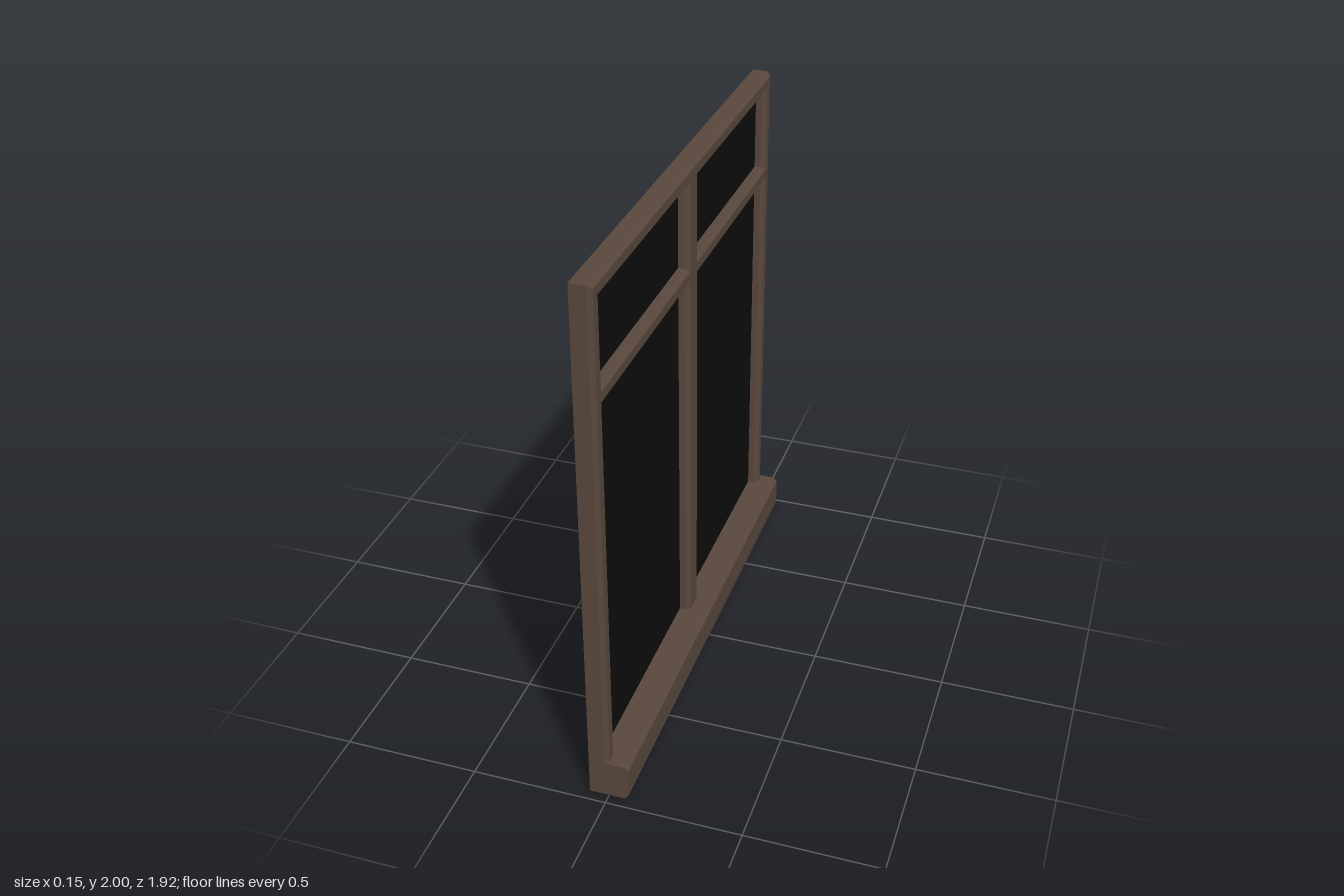
import * as THREE from 'three';

const W = 0.96, TOP = 2, SILL_TOP = 0.145;        // half width, heights
const BACK = -0.073, GLASS = -0.04, BEVEL = 0.015; // depths along x

const wood = new THREE.MeshStandardMaterial({ color: 0x5a483d, side: THREE.DoubleSide });
wood.name = 'brown wood';
const pane = new THREE.MeshStandardMaterial({ color: 0x0d0d0d, side: THREE.DoubleSide });
pane.name = 'dark glass';

function mesh(name, geometry, material) {
  const m = new THREE.Mesh(geometry, material);
  m.name = name;
  return m;
}

// flat geometry from a list of four-cornered faces
function quads(faces) {
  const pos = faces.flatMap(([a, b, c, d]) => [a, b, c, a, c, d].flat());
  const g = new THREE.BufferGeometry();
  g.setAttribute('position', new THREE.Float32BufferAttribute(pos, 3));
  g.computeVertexNormals();
  return g;
}

// rectangle facing +x at depth x: bottom, right, top, left edges in order
const ring = (z0, z1, y0, y1, x) => [[x, y0, z1], [x, y0, z0], [x, y1, z0], [x, y1, z1]];

// faces joining two rings along the chosen edges
const band = (a, b, edges) => edges.map(i => {
  const j = (i + 1) % 4;
  return [a[i], b[i], b[j], a[j]];
});

const toShape = (Type, pts) => new Type(pts.map(([x, y]) => new THREE.Vector2(x, y)));
const rect = (z0, z1, y0, y1) => [[-z1, y0], [-z0, y0], [-z0, y1], [-z1, y1]];

export function createModel() {
  const model = new THREE.Group();
  model.name = 'window';

  // front face of the frame with four openings
  const openings = [];
  for (const [z0, z1] of [[0.037, 0.91], [-0.91, -0.037]]) {
    openings.push({ z0, z1, y0: SILL_TOP + 0.001, y1: 1.58, bottomBevel: 0 });
    openings.push({ z0, z1, y0: 1.615, y1: 1.95, bottomBevel: BEVEL });
  }
  const face = toShape(THREE.Shape, rect(-W + BEVEL, W - BEVEL, SILL_TOP, TOP - BEVEL));
  for (const o of openings) face.holes.push(toShape(THREE.Path, rect(o.z0, o.z1, o.y0, o.y1)));
  model.add(mesh('frameFace', new THREE.ShapeGeometry(face).rotateY(Math.PI / 2), wood));

  // bevelled reveals running from the face back to the glass
  for (const o of openings) {
    const inner = x => ring(o.z0 + BEVEL, o.z1 - BEVEL, o.y0 + o.bottomBevel, o.y1 - BEVEL, x);
    const front = ring(o.z0, o.z1, o.y0, o.y1, 0);
    const all = [0, 1, 2, 3];
    model.add(mesh('openingReveal', quads([
      ...band(inner(-BEVEL), front, all),
      ...band(inner(GLASS), inner(-BEVEL), all),
    ]), wood));
  }

  // outer walls of the frame, open at the back and towards the sill
  const outer = x => ring(-W, W, SILL_TOP, TOP, x);
  const sides = [1, 2, 3];
  model.add(mesh('frameSides', quads([
    ...band(ring(-W + BEVEL, W - BEVEL, SILL_TOP, TOP - BEVEL, 0), outer(-BEVEL), sides),
    ...band(outer(-BEVEL), outer(BACK), sides),
  ]), wood));

  // single glass sheet behind all openings
  const glass = new THREE.PlaneGeometry(2 * W - 0.002, TOP - SILL_TOP - 0.001).rotateY(Math.PI / 2);
  glass.translate(GLASS, (TOP + SILL_TOP) / 2, 0);
  model.add(mesh('glass', glass, pane));

  // hollow sill with chamfered front edges
  const profile = [[GLASS, SILL_TOP], [0.058, SILL_TOP], [0.073, 0.13], [0.073, 0.02], [0.058, 0], [BACK, 0]];
  const sill = new THREE.Group();
  sill.name = 'sill';
  sill.add(mesh('sillBoard', quads(profile.slice(1).map(([x1, y1], i) => {
    const [x0, y0] = profile[i];
    return [[x0, y0, -W], [x0, y0, W], [x1, y1, W], [x1, y1, -W]];
  })), wood));
  const endShape = toShape(THREE.Shape, [...profile, [BACK, SILL_TOP]]);
  for (const side of [1, -1]) {
    const end = mesh('sillEnd', new THREE.ShapeGeometry(endShape), wood);
    end.position.z = side * W;
    sill.add(end);
  }
  model.add(sill);

  return model;
}
